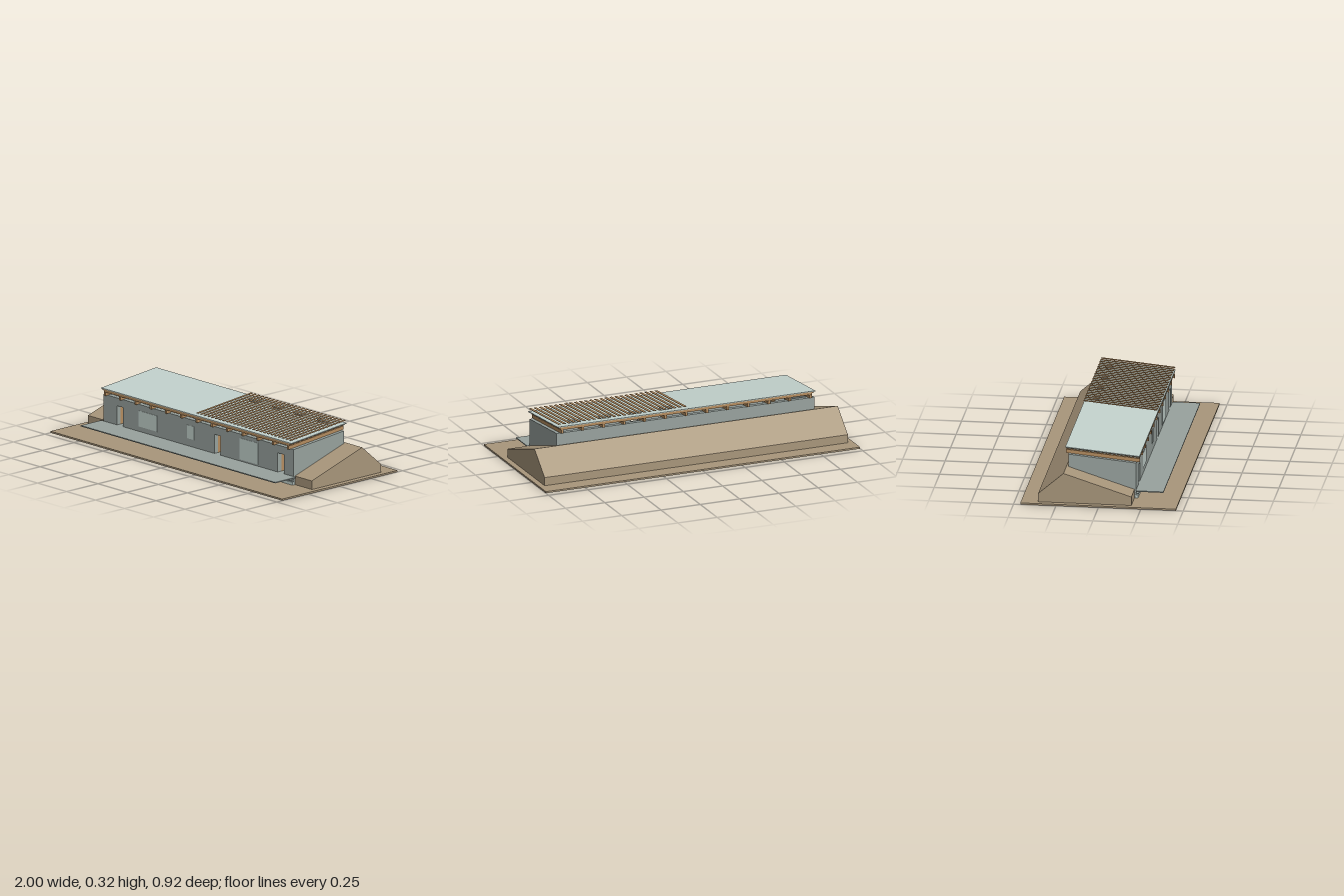
import * as THREE from 'three';

export function createModel() {
  const root = new THREE.Group();
  root.name = 'earthShelteredHouse';
  const mat = (name, color) => {
    const m = new THREE.MeshStandardMaterial({ color });
    m.name = name;
    return m;
  };
  const earth = mat('earth', 0xa8967b);
  const wall = mat('wallGrey', 0x98a29e);
  const pale = mat('paleGlass', 0xc3d2cd);
  const wood = mat('wood', 0xb58d60);

  const SLOPE = 0.094; // roof rise towards the back

  const add = (name, geo, m) => {
    const mesh = new THREE.Mesh(geo, m);
    mesh.name = name;
    root.add(mesh);
    return mesh;
  };
  // Box given by its limits
  const boxGeo = (x0, x1, y0, y1, z0, z1) =>
    new THREE.BoxGeometry(x1 - x0, y1 - y0, z1 - z0)
      .translate((x0 + x1) / 2, (y0 + y1) / 2, (z0 + z1) / 2);
  const box = (name, m, ...limits) => add(name, boxGeo(...limits), m);
  // Box sheared to follow the roof slope (heights are those at z = 0)
  const roofBox = (name, m, ...limits) => {
    const geo = boxGeo(...limits);
    const p = geo.attributes.position;
    for (let i = 0; i < p.count; i++) p.setY(i, p.getY(i) - SLOPE * p.getZ(i));
    geo.computeVertexNormals();
    return add(name, geo, m);
  };
  // Side profile of [z, y] points, swept from x0 to x1
  const sweep = (name, m, x0, x1, pts) => {
    const shape = new THREE.Shape(pts.map(([z, y]) => new THREE.Vector2(z, y)));
    const geo = new THREE.ExtrudeGeometry(shape, { depth: x1 - x0, bevelEnabled: false });
    geo.rotateY(-Math.PI / 2).translate(x1, 0, 0);
    return add(name, geo, m);
  };

  // Ground and earth berm around back and sides
  box('ground', earth, -1, 1, 0, 0.01, -0.46, 0.457);
  const endBerm = [[0.19, 0.01], [0.19, 0.062], [-0.21, 0.19], [-0.36, 0.06], [-0.36, 0.01]];
  sweep('leftBerm', earth, 0.82, 0.965, endBerm);
  sweep('rightBerm', earth, -0.965, -0.82, endBerm);
  sweep('backBerm', earth, -0.82, 0.82,
    [[-0.2, 0.01], [-0.2, 0.187], [-0.21, 0.19], [-0.36, 0.06], [-0.36, 0.01]]);

  // Side and back walls
  const sideWall = [[0.2, 0.01], [0.2, 0.224], [-0.2, 0.262], [-0.2, 0.01]];
  sweep('leftWall', wall, 0.79, 0.82, sideWall);
  sweep('rightWall', wall, -0.82, -0.79, sideWall);
  box('backWall', wall, -0.79, 0.79, 0.01, 0.261, -0.2, -0.175);
  box('backWallLining', pale, -0.79, 0.79, 0.06, 0.259, -0.175, -0.17);
  box('floor', wall, -0.79, 0.79, 0.045, 0.06, -0.175, 0.17);

  // Front wall with door openings
  const doors = [[-0.705, -0.652], [0.135, 0.187], [0.682, 0.737]];
  const front = new THREE.Shape([[-0.79, 0.01], [0.79, 0.01], [0.79, 0.224], [-0.79, 0.224]]
    .map(([x, y]) => new THREE.Vector2(x, y)));
  for (const [a, b] of doors) {
    front.holes.push(new THREE.Path([[a, 0.06], [a, 0.176], [b, 0.176], [b, 0.06]]
      .map(([x, y]) => new THREE.Vector2(x, y))));
  }
  add('frontWall', new THREE.ExtrudeGeometry(front, { depth: 0.03, bevelEnabled: false })
    .translate(0, 0, 0.17), wall);

  // Door leaves standing open inwards
  for (const [a] of doors) box('doorLeaf', wood, a - 0.004, a, 0.06, 0.176, 0.115, 0.17);

  // Low fittings inside, seen through the doors
  for (const [a, b] of [[-0.667, -0.5], [0.1, 0.25], [0.65, 0.77]]) {
    box('interiorCabinet', wood, a, b, 0.06, a < 0 ? 0.09 : 0.105, -0.17, -0.1);
  }

  // Front windows
  for (const [a, b, c, d] of [
    [-0.515, -0.355, 0.09, 0.186], [-0.1, -0.036, 0.105, 0.186], [0.355, 0.515, 0.07, 0.2],
  ]) box('window', pale, a, b, c, d, 0.198, 0.202);

  // Plinth, ledge and front deck
  box('plinth', pale, -0.82, 0.82, 0.01, 0.028, 0.19, 0.211);
  box('ledge', wall, -0.82, 0.82, 0.033, 0.038, 0.195, 0.215);
  box('deck', wall, -0.84, 0.836, 0.054, 0.06, 0.2, 0.363);

  // Rafters, purlins and roof covering
  for (let i = 0; i < 13; i++) {
    const x = -0.79 + (i * 1.58) / 12;
    roofBox('rafter', wood, x - 0.007, x + 0.007, 0.243, 0.264, -0.216, 0.219);
  }
  for (let i = 0; i < 13; i++) {
    const z = -0.212 + i * 0.0355;
    roofBox('purlin', wood, -0.8, 0.8, 0.264, 0.275, z - 0.002, z + 0.002);
  }
  roofBox('roofBoarding', wood, -0.81, 0.81, 0.275, 0.281, -0.216, 0.219);
  roofBox('roofSheet', pale, -0.82, 0.82, 0.281, 0.286, -0.218, 0.219);

  // Shading slats floating over the left half of the roof
  for (let i = 0; i < 26; i++) {
    const x = 0.008 + i * 0.032;
    roofBox('shadeSlat', wood, x - 0.008, x + 0.008, 0.3, 0.303, -0.217, 0.219);
  }

  // Roof vents
  for (const x of [0.107, 0.302, 0.495, 0.69]) {
    roofBox('roofVent', pale, x - 0.035, x + 0.035, 0.286, 0.298, -0.17, -0.138);
  }
  return root;
}
